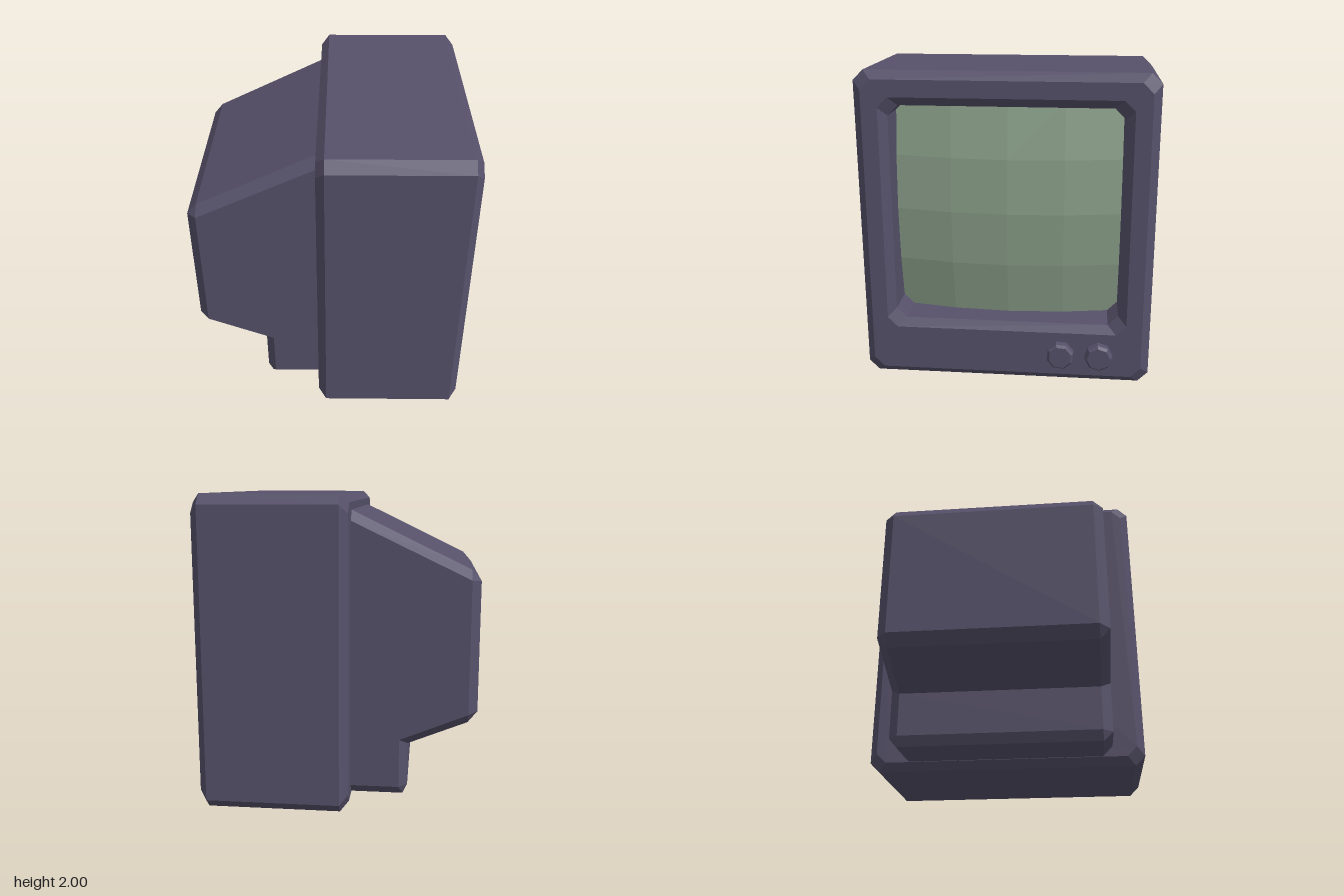
import * as THREE from 'three';

// Joins matching counter-clockwise outlines [points, depth] along +z, with optional end caps
function loft(rings, capStart, capEnd) {
  const pos = [];
  const put = (ring, i) => pos.push(ring[0][i][0], ring[0][i][1], ring[1]);
  for (let r = 0; r < rings.length - 1; r++) {
    const a = rings[r], b = rings[r + 1], n = a[0].length;
    for (let j = 0; j < n; j++) {
      const k = (j + 1) % n;
      put(a, j); put(a, k); put(b, k);
      put(a, j); put(b, k); put(b, j);
    }
  }
  const cap = (ring, flip) => {
    const outline = ring[0].map(p => new THREE.Vector2(p[0], p[1]));
    for (const [a, b, c] of THREE.ShapeUtils.triangulateShape(outline, [])) {
      put(ring, a); put(ring, flip ? c : b); put(ring, flip ? b : c);
    }
  };
  if (capStart) cap(rings[0], true);
  if (capEnd) cap(rings[rings.length - 1], false);
  const geo = new THREE.BufferGeometry();
  geo.setAttribute('position', new THREE.Float32BufferAttribute(pos, 3));
  geo.computeVertexNormals();
  return geo;
}

// Rectangle with cut corners
function octagon(w, y0, y1, cut = 0.064) {
  return [
    [w - cut, y0], [w, y0 + cut], [w, y1 - cut], [w - cut, y1],
    [-w + cut, y1], [-w, y1 - cut], [-w, y0 + cut], [-w + cut, y0],
  ];
}

function circle(radius, sides, turn) {
  return Array.from({ length: sides }, (_, i) => {
    const a = turn + (i / sides) * Math.PI * 2;
    return [radius * Math.cos(a), radius * Math.sin(a)];
  });
}

export function createModel() {
  const model = new THREE.Group();
  model.name = 'television';

  const casing = new THREE.MeshStandardMaterial({ color: 0x56516a });
  casing.name = 'purple grey casing';
  casing.flatShading = true;
  const glass = new THREE.MeshStandardMaterial({ color: 0x8a9f89 });
  glass.name = 'green glass';
  glass.flatShading = true;

  const add = (parent, name, geo, mat) => {
    const mesh = new THREE.Mesh(geo, mat);
    mesh.name = name;
    parent.add(mesh);
    return mesh;
  };

  // Front unit is modelled facing +z, then turned to face +x
  const front = new THREE.Group();
  front.name = 'frontUnit';
  front.rotation.y = Math.PI / 2;
  model.add(front);

  // Chamfered cabinet, running on into the bevelled screen recess
  add(front, 'cabinet', loft([
    [octagon(0.868, 0.052, 1.948), -0.107],
    [octagon(0.92, 0, 2), -0.055],
    [octagon(0.92, 0, 2), 0.8],
    [octagon(0.868, 0.052, 1.948), 0.85],
    [octagon(0.768, 0.343, 1.843), 0.85],
    [octagon(0.715, 0.395, 1.79), 0.81],
    [octagon(0.715, 0.395, 1.79), 0.56],
  ], true, false), casing);

  // Bulging faceted screen
  const w = 1.43, h = 1.395;
  const screenGeo = new THREE.PlaneGeometry(w, h, 4, 4);
  const p = screenGeo.attributes.position;
  for (let i = 0; i < p.count; i++) {
    const u = p.getX(i) / (w / 2), v = p.getY(i) / (h / 2);
    p.setZ(i, 0.74 - 0.08 * (u * u + v * v));
  }
  screenGeo.computeVertexNormals();
  add(front, 'screen', screenGeo, glass).position.y = 1.0925;

  // Two eight-sided knobs with bevelled faces
  [[0.353, 0.3], [0.598, 0.08]].forEach(([x, turn], i) => {
    const knob = loft([
      [circle(0.088, 8, turn), 0.84],
      [circle(0.088, 8, turn), 0.895],
      [circle(0.073, 8, turn), 0.912],
    ], false, true);
    add(front, 'knob' + (i + 1), knob, casing).position.set(x, 0.2, 0);
  });

  // Rear housing: side profile with bevelled edges, doubled points form corner facets
  const rim = [
    [-0.1, 0.055], [-0.1, 1.902], [-0.855, 1.535], [-0.915, 1.465], [-0.915, 0.63],
    [-0.855, 0.555], [-0.475, 0.4], [-0.475, 0.12], [-0.445, 0.055],
  ];
  const side = [
    [-0.1, 0.12], [-0.1, 1.837], [-0.855, 1.475], [-0.855, 1.475], [-0.855, 0.62],
    [-0.855, 0.62], [-0.42, 0.44], [-0.42, 0.12], [-0.42, 0.12],
  ];
  add(model, 'rearHousing', loft([
    [side, -0.708], [rim, -0.645], [rim, 0.645], [side, 0.708],
  ], true, true), casing);

  return model;
}
